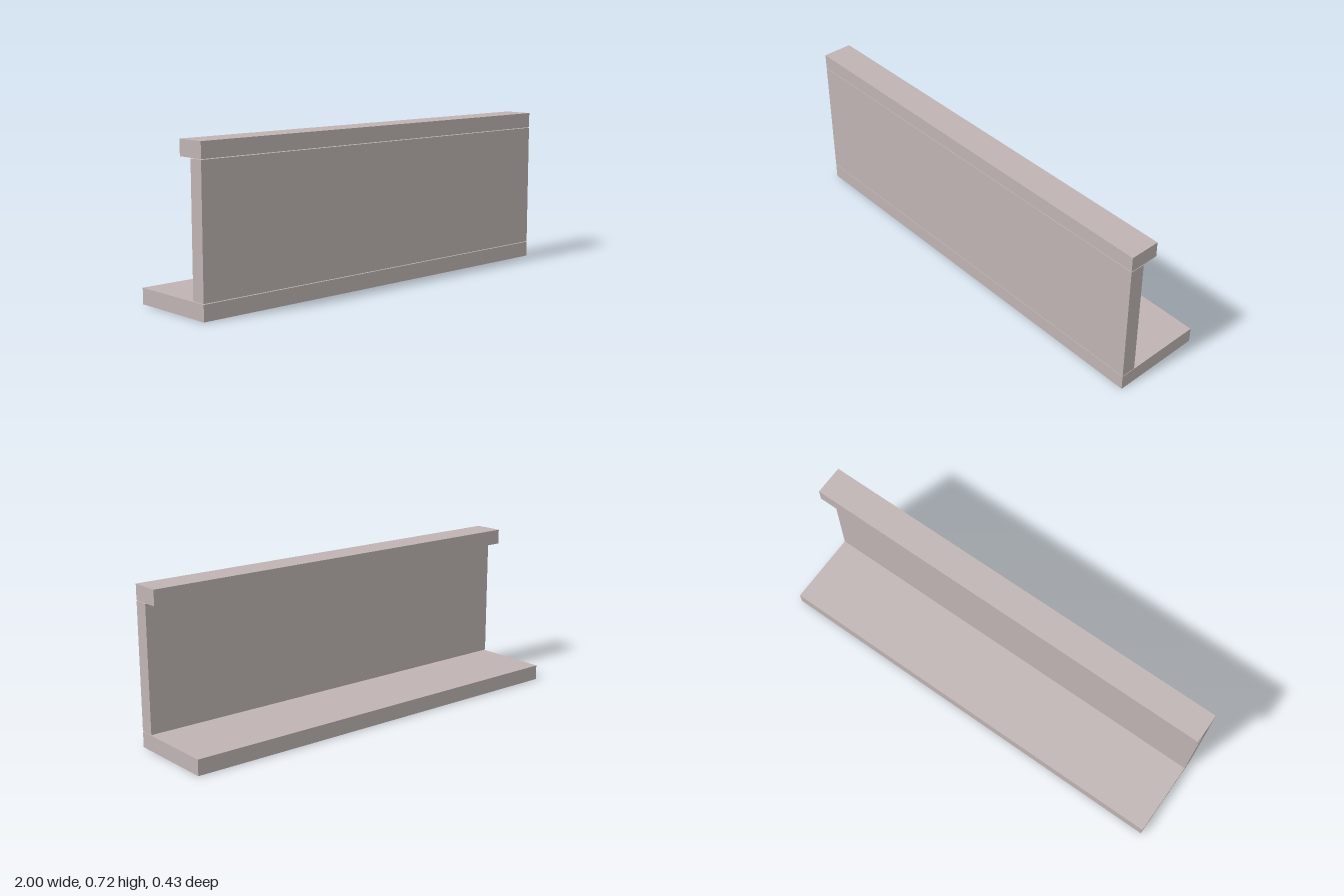
import * as THREE from 'three';

export function createModel() {
  const model = new THREE.Group();
  model.name = 'channelBeam';
  const warmGrey = new THREE.MeshStandardMaterial({ color: 0xbfb4b3 });
  warmGrey.name = 'warmGrey';

  // Full-length plank spanning a y range and a z range
  function plank(name, y0, y1, z0, z1) {
    const mesh = new THREE.Mesh(new THREE.BoxGeometry(2, y1 - y0, z1 - z0), warmGrey);
    mesh.name = name;
    mesh.position.set(0, (y0 + y1) / 2, (z0 + z1) / 2);
    model.add(mesh);
  }

  // Wide foot, upright web and narrow cap, separated by hairline seams
  plank('bottomFlange', 0, 0.071, -0.213, 0.213);
  plank('web', 0.074, 0.644, 0.144, 0.213);
  plank('topFlange', 0.647, 0.717, 0.073, 0.213);

  return model;
}
